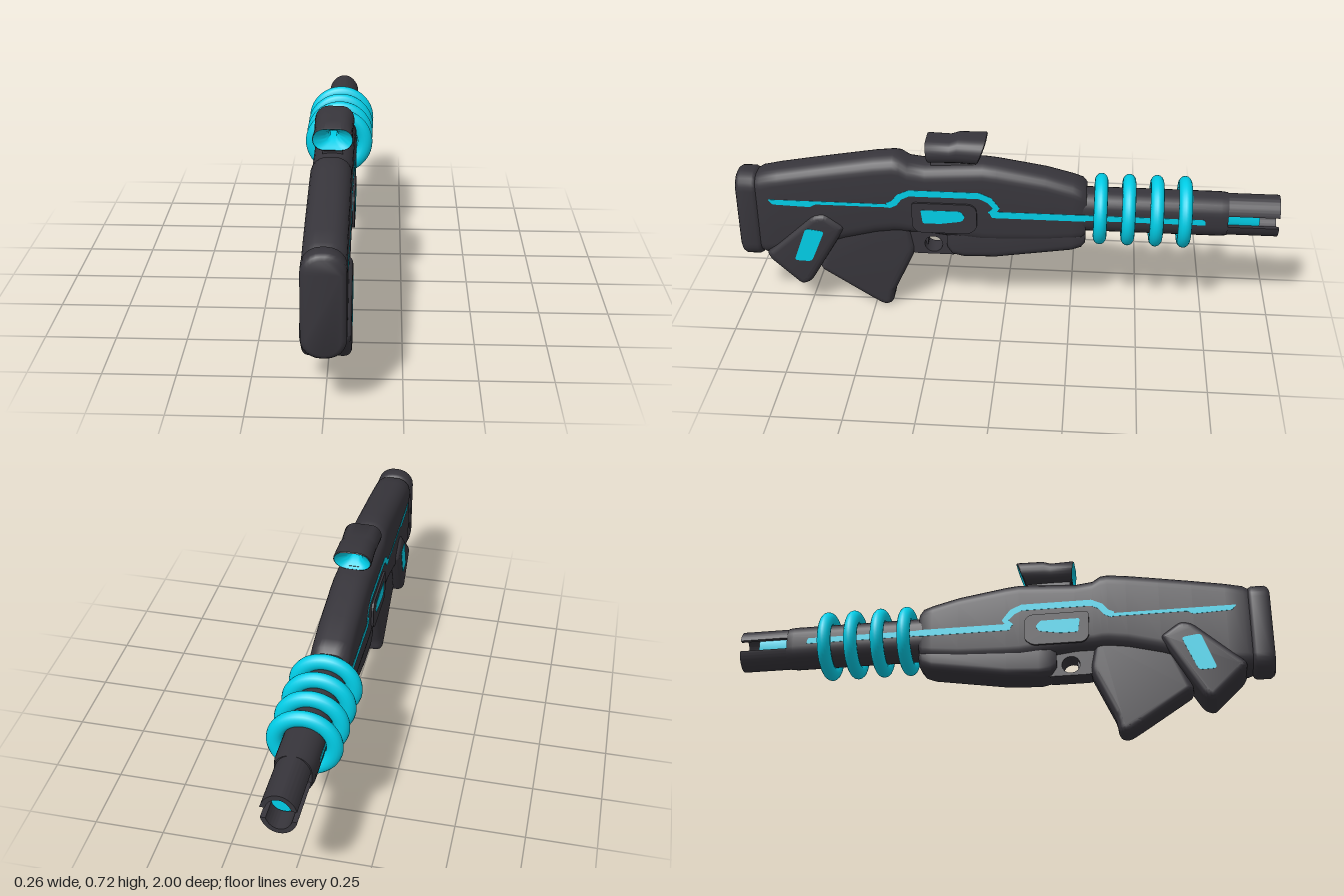
import * as THREE from 'three';
import { toCreasedNormals } from 'three/addons/utils/BufferGeometryUtils.js';

const dark = new THREE.MeshStandardMaterial({ color: 0x37353b });
dark.name = 'charcoal';
const cyan = new THREE.MeshStandardMaterial({ color: 0x00d0ea });
cyan.name = 'glowing cyan';

// Rounded-rectangle loft. Section: [z, yBottom, yTop, halfWidth, cornerRadius, slant]
// Sections run toward -z for an outside surface, toward +z for an inside one.
function loft(sections, caps = true, crease = 0.7) {
  const pos = [], idx = [], steps = 7, n = steps * 4;
  for (const [z, y0, y1, hw, r, slant = 0] of sections) {
    const mid = (y0 + y1) / 2, hh = (y1 - y0) / 2;
    const rad = Math.min(r, hw, hh);
    for (let q = 0; q < 4; q++) {
      const sx = q === 0 || q === 3 ? 1 : -1, sy = q < 2 ? 1 : -1;
      for (let k = 0; k < steps; k++) {
        const a = (q + k / (steps - 1)) * Math.PI / 2;
        const y = sy * (hh - rad) + rad * Math.sin(a);
        pos.push(sx * (hw - rad) + rad * Math.cos(a), mid + y, z + slant * y);
      }
    }
  }
  for (let i = 0; i < sections.length - 1; i++) {
    for (let j = 0; j < n; j++) {
      const a = i * n + j, b = i * n + (j + 1) % n;
      idx.push(a, a + n, b, b, a + n, b + n);
    }
  }
  if (caps) {
    const last = (sections.length - 1) * n;
    for (let j = 1; j < n - 1; j++) {
      idx.push(0, j, j + 1, last, last + j + 1, last + j);
    }
  }
  const g = new THREE.BufferGeometry();
  g.setAttribute('position', new THREE.Float32BufferAttribute(pos, 3));
  g.setIndex(idx);
  return toCreasedNormals(g, crease);
}

// Closed side outline from [z, y] points with softened corners
function outline(pts, r) {
  const s = new THREE.Shape();
  const v = pts.map(([z, y]) => new THREE.Vector2(-z, y));
  v.forEach((p, i) => {
    const prev = v[(i + v.length - 1) % v.length], next = v[(i + 1) % v.length];
    const cut = q => p.clone().lerp(q, Math.min(0.45, r / p.distanceTo(q)));
    const a = cut(prev), b = cut(next);
    if (i === 0) s.moveTo(a.x, a.y); else s.lineTo(a.x, a.y);
    s.quadraticCurveTo(p.x, p.y, b.x, b.y);
  });
  s.closePath();
  return s;
}

// Side outline extruded across x from x0 to x1
function slab(shape, x0, x1, bevel = 0) {
  const g = new THREE.ExtrudeGeometry(shape, {
    depth: x1 - x0 - 2 * bevel, bevelEnabled: bevel > 0, bevelThickness: bevel,
    bevelSize: bevel, bevelOffset: -bevel, bevelSegments: 5, curveSegments: 8,
  });
  g.translate(0, 0, x0 + bevel).rotateY(Math.PI / 2);
  return toCreasedNormals(g, 0.7);
}

// Ribbon of constant width along a [z, y] path
function ribbon(path, w) {
  const up = [], down = [];
  path.forEach(([z, y], i) => {
    const a = path[Math.max(0, i - 1)], b = path[Math.min(path.length - 1, i + 1)];
    const dz = b[0] - a[0], dy = b[1] - a[1], l = Math.hypot(dz, dy) / (w / 2);
    up.push([z - dy / l, y + dz / l]);
    down.unshift([z + dy / l, y - dz / l]);
  });
  return up.concat(down);
}

export function createModel() {
  const model = new THREE.Group();
  model.name = 'rifle';
  const add = (name, geo, mat = dark) => {
    const m = new THREE.Mesh(geo, mat);
    m.name = name;
    model.add(m);
    return m;
  };
  // Thin plate repeated on both flanks
  const plates = (name, pts, x, mat = cyan, r = 0.008, t = 0.008) => {
    const shape = outline(pts, r);
    add(name + 'Left', slab(shape, x - t, x), mat);
    add(name + 'Right', slab(shape, -x, t - x), mat);
  };

  // Stock pad
  add('buttPad', loft([
    [1, 0.22, 0.538, 0.055, 0.05], [0.994, 0.208, 0.549, 0.066, 0.06], [0.982, 0.2, 0.556, 0.072, 0.065],
    [0.935, 0.2, 0.556, 0.073, 0.065], [0.924, 0.206, 0.55, 0.068, 0.06], [0.918, 0.215, 0.54, 0.06, 0.055]]));

  // Main body from stock to fore-end
  add('body', loft([
    [0.925, 0.22, 0.545, 0.064, 0.05], [0.905, 0.212, 0.557, 0.071, 0.055], [0.84, 0.22, 0.572, 0.071, 0.055],
    [0.72, 0.245, 0.594, 0.071, 0.055], [0.6, 0.285, 0.616, 0.071, 0.058], [0.48, 0.315, 0.637, 0.071, 0.06],
    [0.41, 0.325, 0.645, 0.071, 0.06], [0.385, 0.325, 0.642, 0.071, 0.06], [0.355, 0.325, 0.62, 0.071, 0.055],
    [0.29, 0.325, 0.612, 0.071, 0.055], [0.08, 0.3, 0.626, 0.071, 0.055], [0.03, 0.3, 0.621, 0.071, 0.055],
    [-0.15, 0.31, 0.59, 0.071, 0.05], [-0.25, 0.32, 0.564, 0.071, 0.05], [-0.285, 0.325, 0.552, 0.07, 0.05],
    [-0.3, 0.34, 0.535, 0.062, 0.045]]));

  // Lower fore-end
  add('foreEnd', loft([
    [0.215, 0.26, 0.36, 0.05, 0.035], [0.195, 0.238, 0.37, 0.06, 0.035], [0.15, 0.23, 0.37, 0.063, 0.035],
    [0.03, 0.236, 0.37, 0.065, 0.035], [-0.25, 0.28, 0.38, 0.066, 0.035], [-0.285, 0.293, 0.38, 0.064, 0.035],
    [-0.3, 0.312, 0.38, 0.056, 0.03]]));

  // Trigger guard, trigger and grip
  const guard = outline([[0.37, 0.35], [0.36, 0.245], [0.335, 0.237], [0.18, 0.237], [0.18, 0.35]], 0.015);
  const hole = new THREE.Path();
  hole.absellipse(-0.267, 0.28, 0.034, 0.033, 0, Math.PI * 2, true);
  guard.holes.push(hole);
  add('triggerGuard', slab(guard, -0.04, 0.04));
  add('trigger', slab(outline([[0.303, 0.32], [0.304, 0.262], [0.292, 0.258], [0.287, 0.32]], 0.006), -0.012, 0.012));
  add('grip', slab(outline([[0.36, 0.38], [0.335, 0.25], [0.425, 0.055], [0.431, 0.006], [0.464, -0.006],
    [0.508, 0.02], [0.71, 0.152], [0.62, 0.38]], 0.024), -0.052, 0.052, 0.026));

  // Magazine behind the grip
  add('magazine', slab(outline([[0.592, 0.355], [0.67, 0.412], [0.715, 0.402], [0.902, 0.232],
    [0.89, 0.203], [0.775, 0.092], [0.738, 0.108]], 0.02), -0.083, 0.083, 0.026));
  plates('magazineLight', [[0.742, 0.35], [0.672, 0.34], [0.727, 0.208], [0.793, 0.21]], 0.0842, cyan, 0.015);

  // Receiver panel with its window
  plates('receiverPanel', [[0.34, 0.475], [0.12, 0.475], [0.1, 0.455], [0.1, 0.375], [0.13, 0.352], [0.32, 0.352],
    [0.34, 0.375]], 0.079, dark, 0.015, 0.009);
  plates('receiverWindow', [[0.307, 0.447], [0.16, 0.447], [0.143, 0.425], [0.155, 0.405], [0.235, 0.392],
    [0.3, 0.392]], 0.0802);

  // Light strips along the flanks
  plates('stockStrip', [[0.878, 0.462], [0.42, 0.462], [0.42, 0.449], [0.7, 0.449], [0.72, 0.437], [0.86, 0.442]],
    0.0722, cyan, 0.005);
  plates('archStrip', ribbon([[0.43, 0.456], [0.405, 0.468], [0.385, 0.494], [0.35, 0.511], [0.09, 0.511],
    [0.055, 0.495], [0.028, 0.462], [0.05, 0.436]], 0.025), 0.0722, cyan, 0.004);
  plates('foreStrip', [[0.055, 0.447], [-0.3, 0.447], [-0.3, 0.421], [0.045, 0.421]], 0.0722, cyan, 0.005);

  // Barrel with side strips and coil rings
  const cy = 0.437;
  add('barrel', loft([[-0.27, cy - 0.08, cy + 0.08, 0.069, 0.06], [-0.79, cy - 0.08, cy + 0.08, 0.069, 0.06],
    [-0.815, cy - 0.08, cy + 0.08, 0.063, 0.06]]));
  plates('barrelStrip', [[-0.28, 0.446], [-0.73, 0.446], [-0.735, 0.424], [-0.28, 0.424]], 0.0702, cyan, 0.006);
  for (let i = 0; i < 4; i++) {
    const ring = add('coilRing' + (i + 1), new THREE.TorusGeometry(0.103, 0.029, 16, 56), cyan);
    ring.position.set(0, 0.438, -0.352 - i * 0.102);
    ring.scale.z = 0.86;
  }

  // Split muzzle: two curved jaws around a glowing core
  const jaw = new THREE.Shape();
  const a0 = Math.asin(0.022 / 0.08), b0 = Math.asin(0.022 / 0.062);
  jaw.absellipse(0, 0, 0.063, 0.08, a0, Math.PI - a0, false);
  jaw.absellipse(0, 0, 0.046, 0.062, Math.PI - b0, b0, true);
  jaw.closePath();
  for (const [name, turn] of [['upperJaw', 0], ['lowerJaw', Math.PI]]) {
    const g = new THREE.ExtrudeGeometry(jaw, { depth: 0.195, bevelEnabled: false, curveSegments: 20 });
    const m = add(name, toCreasedNormals(g, 0.7));
    m.rotation.z = turn;
    m.position.set(0, cy, -1);
  }
  add('muzzleCore', loft([[-0.81, cy - 0.052, cy + 0.052, 0.043, 0.042], [-0.93, cy - 0.052, cy + 0.052, 0.043, 0.042]]), cyan);

  // Sight with bell-shaped openings
  add('sightMount', loft([[0.27, 0.59, 0.634, 0.035, 0.01], [0.11, 0.59, 0.634, 0.035, 0.01]]));
  add('sightHousing', loft([
    [0.284, 0.628, 0.706, 0.069, 0.039, 0.1], [0.28, 0.624, 0.709, 0.071, 0.042, 0.1], [0.2, 0.625, 0.708, 0.067, 0.041],
    [0.175, 0.624, 0.72, 0.068, 0.046, -0.15], [0.087, 0.622, 0.721, 0.071, 0.048, -0.37],
    [0.083, 0.627, 0.717, 0.068, 0.045, -0.37]], false));
  add('sightLens', loft([
    [0.083, 0.627, 0.717, 0.068, 0.045, -0.37], [0.1, 0.634, 0.709, 0.055, 0.037, -0.3],
    [0.122, 0.648, 0.692, 0.03, 0.022, -0.15], [0.155, 0.657, 0.682, 0.016, 0.0125],
    [0.22, 0.657, 0.682, 0.016, 0.0125], [0.248, 0.648, 0.69, 0.028, 0.021],
    [0.268, 0.636, 0.699, 0.05, 0.031, 0.05], [0.284, 0.628, 0.706, 0.069, 0.039, 0.1]], false, 1.2), cyan);
  return model;
}
